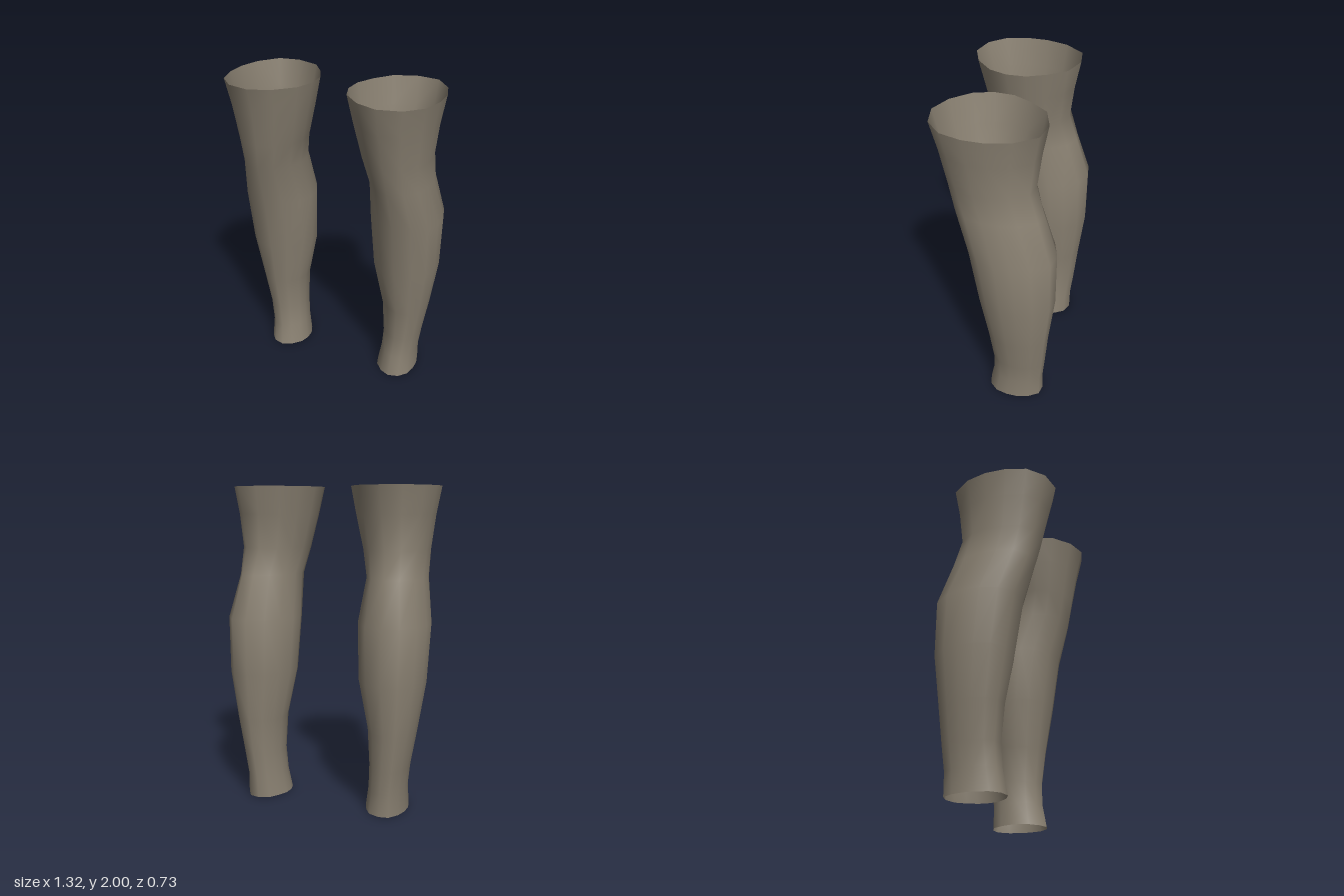
import * as THREE from 'three';

// Unit cross-section of the leg: [outward, forward], from the back round the outer side
const SECTION = [
  [0.04, -1], [0.52, -0.94], [0.86, -0.58], [1, -0.18], [1, 0.21], [0.87, 0.61], [0.52, 0.9],
  [0.01, 1], [-0.47, 0.84], [-0.86, 0.52], [-1, 0.18], [-0.98, -0.18], [-0.78, -0.52], [-0.48, -0.85],
];

// Rings from ankle to thigh: [height, inner x, outer x, back z, front z]
const RINGS = [
  [0, 0.278, 0.54, -0.295, 0.065],
  [0.14, 0.30, 0.536, -0.295, 0.037],
  [0.29, 0.308, 0.555, -0.31, 0.03],
  [0.52, 0.295, 0.595, -0.33, 0.055],
  [0.83, 0.23, 0.642, -0.365, 0.11],
  [1.18, 0.215, 0.655, -0.365, 0.165],
  [1.45, 0.24, 0.605, -0.28, 0.245],
  [1.62, 0.20, 0.608, -0.23, 0.28],
  [1.83, 0.15, 0.632, -0.255, 0.325],
  [2, 0.115, 0.662, -0.287, 0.368],
];

// Open tube lofted through the rings; side is 1 for left, -1 for right
function legGeometry(side) {
  const n = SECTION.length;
  const positions = [];
  const indices = [];
  for (const [y, inner, outer, back, front] of RINGS) {
    for (const [u, v] of SECTION) {
      positions.push(
        side * ((inner + outer) / 2 + (u * (outer - inner)) / 2),
        y,
        (back + front) / 2 + (v * (front - back)) / 2,
      );
    }
  }
  for (let r = 0; r < RINGS.length - 1; r++) {
    for (let i = 0; i < n; i++) {
      const a = r * n + i;
      const b = r * n + ((i + 1) % n);
      if (side > 0) indices.push(a, a + n, b + n, a, b + n, b);
      else indices.push(a, b + n, a + n, a, b, b + n);
    }
  }
  const geometry = new THREE.BufferGeometry();
  geometry.setAttribute('position', new THREE.Float32BufferAttribute(positions, 3));
  geometry.setIndex(indices);
  geometry.computeVertexNormals();
  return geometry;
}

export function createModel() {
  const model = new THREE.Group();
  model.name = 'stockings';
  const fabric = new THREE.MeshStandardMaterial({ color: 0x8a8172, side: THREE.DoubleSide });
  fabric.name = 'taupe fabric';

  // Mirrored pair of stockings
  for (const [name, side] of [['leftStocking', 1], ['rightStocking', -1]]) {
    const stocking = new THREE.Mesh(legGeometry(side), fabric);
    stocking.name = name;
    model.add(stocking);
  }
  return model;
}
